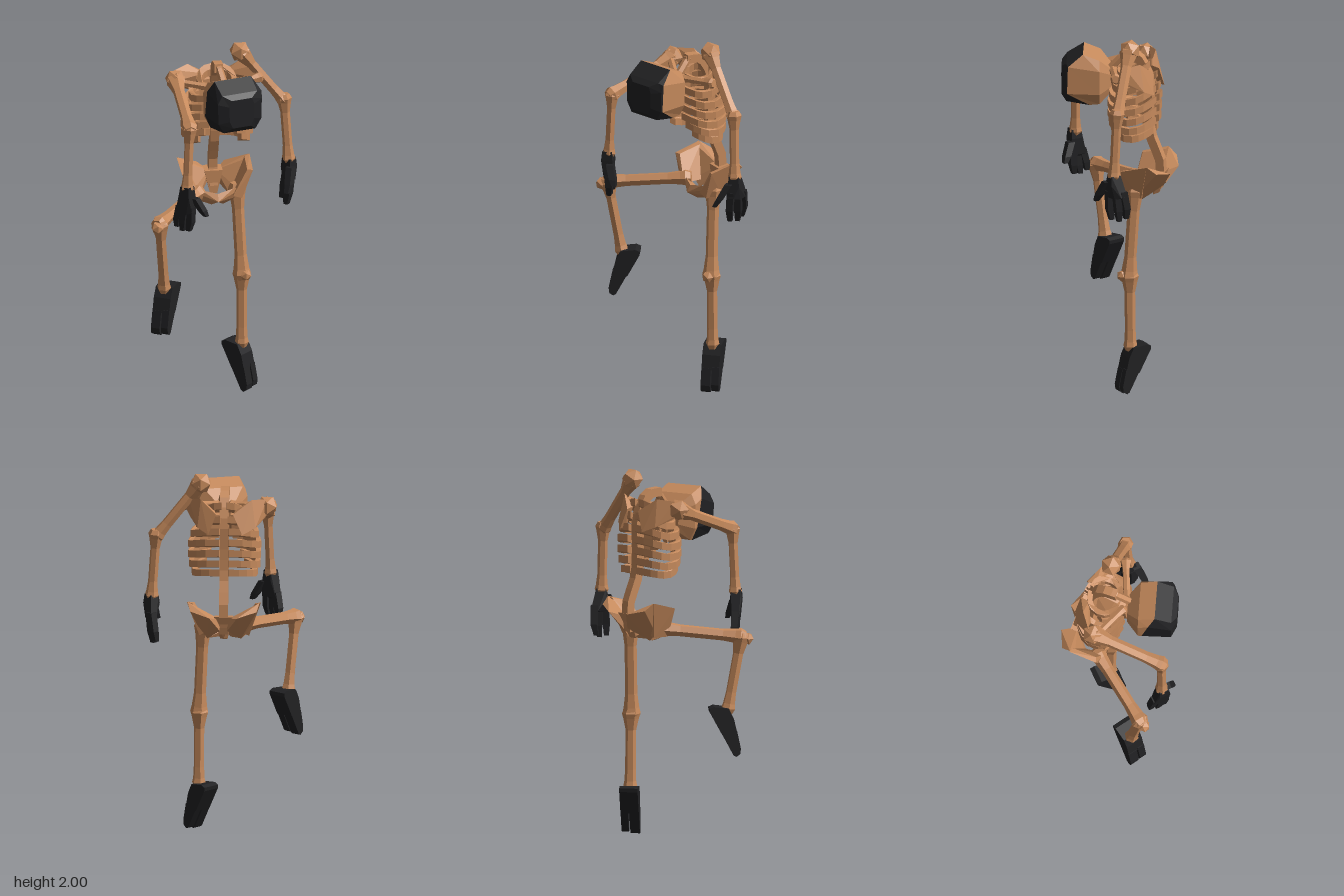
import * as THREE from 'three';
import { ConvexGeometry } from 'three/addons/geometries/ConvexGeometry.js';

const boneMat = new THREE.MeshStandardMaterial({ color: 0xc68a5c, flatShading: true });
boneMat.name = 'tan bone';
const darkMat = new THREE.MeshStandardMaterial({ color: 0x212123, flatShading: true });
darkMat.name = 'charcoal';

const V = (p) => new THREE.Vector3(...p);

export function createModel() {
  const model = new THREE.Group();
  model.name = 'skeleton';

  const add = (name, geo, mat = boneMat, parent = model) => {
    const m = new THREE.Mesh(geo, mat);
    m.name = name;
    parent.add(m);
    return m;
  };
  const hull = (name, pts, mat, parent) => add(name, new ConvexGeometry(pts.map(V)), mat, parent);

  // Six-sided tapered limb bone with flared ends
  const bone = (name, a, b, r0, rs, r1) => {
    const d = V(b).sub(V(a)), len = d.length();
    const profile = [[0, 0], [r0 * 0.7, 0], [r0, 0.06], [r0 * 0.85, 0.12], [rs, 0.26], [rs, 0.74],
      [r1 * 0.85, 0.88], [r1, 0.94], [r1 * 0.7, 1], [0, 1]];
    const m = add(name, new THREE.LatheGeometry(profile.map(([r, t]) => new THREE.Vector2(r, t * len)), 6));
    m.position.set(...a);
    m.quaternion.setFromUnitVectors(new THREE.Vector3(0, 1, 0), d.normalize());
  };
  const knob = (name, p, r) => add(name, new THREE.IcosahedronGeometry(r, 0)).position.set(...p);

  // Head: eight-cornered rings along its facing direction; the colour border is a slanted ring
  const head = new THREE.Group();
  head.name = 'head';
  head.rotation.y = 0.285;
  model.add(head);
  const ring = (z, w, b, t) => [[0.97, 0.25], [1, 0.78], [0.8, 1], [-0.8, 1], [-1, 0.78], [-0.97, 0.25], [-0.72, 0], [0.72, 0]]
    .map(([x, y], i) => [x * w - 0.005, b + (t - b) * y, Array.isArray(z) ? z[i] : z]);
  const loft = (rings, capStart) => {
    const v = [];
    for (let i = 0; i + 1 < rings.length; i++) {
      for (let j = 0; j < 8; j++) {
        const k = (j + 1) % 8, [p, q] = [rings[i], rings[i + 1]];
        v.push(...p[j], ...p[k], ...q[k], ...p[j], ...q[k], ...q[j]);
      }
    }
    const cap = capStart ? rings[0].slice().reverse() : rings[rings.length - 1];
    for (let j = 1; j < 7; j++) v.push(...cap[0], ...cap[j], ...cap[j + 1]);
    const g = new THREE.BufferGeometry();
    g.setAttribute('position', new THREE.Float32BufferAttribute(v, 3));
    g.computeVertexNormals();
    return g;
  };
  const border = ring([0.25, 0.245, 0.165, 0.165, 0.13, 0.095, 0.09, 0.13], 0.136, 1.61, 1.9);
  const front = ring([0.258, 0.258, 0.255, 0.255, 0.255, 0.255, 0.255, 0.255], 0.131, 1.63, 1.845);
  add('skull', loft([ring(0.012, 0.065, 1.67, 1.8), ring(0.075, 0.134, 1.615, 1.865), border], true), boneMat, head);
  add('facePlate', loft([border, front, ring(0.283, 0.075, 1.66, 1.82)], false), darkMat, head);

  // Spine: curved side profile extruded across x
  const spineCurve = new THREE.SplineCurve([[-0.25, 1.14], [-0.27, 1.28], [-0.21, 1.44], [-0.2, 1.6],
    [-0.2, 1.75], [-0.14, 1.87], [-0.05, 1.885]].map((p) => new THREE.Vector2(...p)));
  const near = [], far = [];
  for (let i = 0; i <= 16; i++) {
    const p = spineCurve.getPoint(i / 16), t = spineCurve.getTangent(i / 16);
    const n = new THREE.Vector2(-t.y, t.x).multiplyScalar(0.024);
    near.push(p.clone().add(n));
    far.unshift(p.clone().sub(n));
  }
  const spine = new THREE.ExtrudeGeometry(new THREE.Shape([...near, ...far]), { depth: 0.048, bevelEnabled: false });
  spine.rotateY(-Math.PI / 2).translate(0.024, 0, 0);
  add('spine', spine);
  bone('neck', [0, 1.89, -0.07], [0.03, 1.77, 0.04], 0.025, 0.022, 0.025);

  // Ribs: squarish bands that sag at the sides; the lower ones rise in front [y, rx, rz, half sweep, rise]
  const ribs = [[1.86, 0.11, 0.09, 3.0, -0.05], [1.79, 0.155, 0.115, 3.0, -0.04], [1.725, 0.185, 0.127, 3.0, -0.02],
    [1.665, 0.198, 0.133, 3.0, -0.01], [1.605, 0.198, 0.133, 2.9, 0], [1.545, 0.195, 0.128, 2.75, 0.02],
    [1.49, 0.18, 0.115, 2.5, 0.04]];
  const bulge = (c) => Math.sign(c) * Math.abs(c) ** 0.8;
  for (const [y, rx, rz, sweep, rise] of ribs) {
    for (const side of [-1, 1]) {
      const outer = [], inner = [];
      for (let i = 0; i <= 8; i++) {
        const a = 0.08 + (sweep - 0.08) * (i / 8);
        const x = side * bulge(Math.sin(a)), z = -bulge(Math.cos(a));
        outer.push(new THREE.Vector2(x * rx, z * rz));
        inner.unshift(new THREE.Vector2(x * (rx - 0.028), z * (rz - 0.028)));
      }
      const g = new THREE.ExtrudeGeometry(new THREE.Shape([...outer, ...inner]), { depth: 0.038, bevelEnabled: false });
      g.rotateX(Math.PI / 2).translate(0, y, -0.12);
      const p = g.attributes.position;
      for (let i = 0; i < p.count; i++) {
        const t = (p.getZ(i) + 0.12 + rz) / (2 * rz);
        p.setY(i, p.getY(i) - 0.035 * Math.sin(t * Math.PI) + rise * t);
      }
      g.computeVertexNormals();
      add('rib', g);
    }
  }
  hull('sternum', [[-0.03, 1.8, -0.03], [0.03, 1.8, -0.03], [-0.03, 1.78, 0], [0.03, 1.78, 0],
    [-0.015, 1.6, -0.01], [0.015, 1.6, -0.01], [-0.015, 1.61, 0.012], [0.015, 1.61, 0.012]]);

  // Mirrored shoulder girdle and pelvis
  for (const s of [-1, 1]) {
    const mir = (pts) => pts.map(([x, y, z]) => [s * x, y, z]);
    const k = s < 0 ? 1 : 0.85;
    hull('scapula', mir([[0.23, 1.86, -0.13], [0.15, 1.87, -0.19], [0.05, 1.8, -0.24], [0.06, 1.81, -0.19],
      [0.1, 1.69, -0.255], [0.09, 1.7, -0.22], [0.17, 1.72, -0.22], [0.22, 1.76, -0.14], [0.25, 1.8, -0.1]]
      .map(([x, y, z]) => [x * k, y, z])));
    bone('clavicle', [s * 0.02, 1.79, 0], [s * 0.24, 1.81, -0.09], 0.028, 0.02, 0.032);
    hull('hipWing', mir([[0.02, 1.16, -0.29], [0.02, 1.22, -0.27], [0.075, 1.245, -0.345], [0.18, 1.27, -0.3],
      [0.195, 1.31, -0.25], [0.165, 1.285, -0.23], [0.13, 1.13, -0.18], [0.09, 1.09, -0.19], [0.06, 1.14, -0.23]]));
    hull('hipBlade', mir([[0.2, 1.31, -0.25], [0.195, 1.27, -0.1], [0.135, 1.11, -0.1], [0.135, 1.11, -0.2],
      [0.17, 1.3, -0.24], [0.165, 1.27, -0.11], [0.085, 1.13, -0.09], [0.09, 1.13, -0.2]]));
    hull('pubicBone', mir([[0.14, 1.16, -0.12], [0.13, 1.11, -0.14], [0.09, 1.17, -0.1], [0.09, 1.09, -0.18],
      [0, 1.15, -0.08], [0, 1.11, -0.06], [0, 1.12, -0.11], [0.03, 1.08, -0.11]]));
  }
  hull('sacrum', [[-0.05, 1.24, -0.3], [0.05, 1.24, -0.3], [-0.05, 1.23, -0.23], [0.05, 1.23, -0.23],
    [-0.02, 1.1, -0.23], [0.02, 1.1, -0.23], [0, 1.11, -0.26]]);

  // Arms
  knob('leftShoulder', [0.128, 1.947, -0.133], 0.06);
  bone('leftUpperArm', [0.125, 1.955, -0.13], [0.378, 1.635, -0.14], 0.052, 0.03, 0.04);
  bone('leftForearm', [0.37, 1.685, -0.14], [0.397, 1.29, -0.13], 0.043, 0.026, 0.038);
  knob('rightShoulder', [-0.23, 1.815, -0.105], 0.06);
  bone('rightUpperArm', [-0.23, 1.82, -0.12], [-0.213, 1.665, 0.31], 0.054, 0.032, 0.045);
  bone('rightForearm', [-0.213, 1.695, 0.285], [-0.23, 1.31, 0.295], 0.043, 0.026, 0.038);

  // Hands: palm wedge with three fingers and a thumb fanning to the given tips
  const hand = (name, wrist, roots, tips) => {
    const around = (p, r, h) => [[1, 0], [0, 1], [-1, 0], [0, -1]].map(([a, b]) => [p[0] + a * r, p[1] + h, p[2] + b * r]);
    hull(name + 'Palm', [...around(wrist, 0.038, 0.02), ...around(wrist, 0.045, -0.03),
      ...roots.slice(0, 3).flatMap((p) => around(p, 0.028, 0))], darkMat);
    roots.forEach((p, i) => {
      const t = tips[i];
      const mid = [0, 1, 2].map((k) => p[k] * 0.45 + t[k] * 0.55 + (k === 1 ? 0 : (p[k] - wrist[k]) * 0.2));
      hull(name + (i < 3 ? 'Finger' : 'Thumb'), [...around(p, 0.028, 0.03), ...around(mid, 0.026, 0)], darkMat);
      hull(name + (i < 3 ? 'Fingertip' : 'Thumbtip'), [...around(mid, 0.026, 0), ...around(t, 0.017, 0)], darkMat);
    });
  };
  hand('leftHand', [0.397, 1.3, -0.13],
    [[0.395, 1.2, -0.18], [0.402, 1.19, -0.145], [0.4, 1.2, -0.105], [0.4, 1.25, -0.09]],
    [[0.37, 1.07, -0.19], [0.385, 1.055, -0.155], [0.38, 1.06, -0.11], [0.37, 1.155, -0.02]]);
  hand('rightHand', [-0.23, 1.325, 0.3],
    [[-0.26, 1.2, 0.27], [-0.24, 1.19, 0.295], [-0.21, 1.2, 0.305], [-0.19, 1.25, 0.31]],
    [[-0.275, 1.1, 0.245], [-0.25, 1.085, 0.275], [-0.22, 1.09, 0.3], [-0.13, 1.175, 0.32]]);

  // Legs
  bone('leftThigh', [0.115, 1.18, -0.16], [0.14, 0.63, -0.13], 0.05, 0.033, 0.05);
  bone('leftShin', [0.138, 0.69, -0.135], [0.14, 0.24, -0.14], 0.05, 0.029, 0.038);
  knob('leftKneecap', [0.155, 0.665, -0.1], 0.033);
  bone('rightThigh', [-0.09, 1.155, -0.14], [-0.385, 1.105, 0.24], 0.047, 0.033, 0.047);
  bone('rightShin', [-0.37, 1.13, 0.225], [-0.33, 0.69, 0.155], 0.05, 0.029, 0.04);
  knob('rightKneecap', [-0.385, 1.095, 0.25], 0.036);

  // Feet: thin hanging wedges whose lower half splits into two toes
  const foot = (name, ankle, yaw) => {
    const g = new THREE.Group();
    g.name = name;
    g.position.set(...ankle);
    g.rotation.y = yaw;
    model.add(g);
    const slab = (part, pts, x0, x1) => hull(part, pts.flatMap(([z, y]) => [[x0, y, z], [x1, y, z]]), darkMat, g);
    slab('footBody', [[-0.075, 0.015], [-0.1, 0.005], [-0.098, -0.015], [0.005, 0.005], [0.032, -0.05], [0.05, -0.13], [-0.03, -0.14]], -0.05, 0.05);
    const toe = [[0.05, -0.12], [-0.037, -0.125], [0.07, -0.215], [0.066, -0.245], [0.045, -0.259], [0.03, -0.25]];
    slab('bigToe', toe, -0.05, 0.002);
    slab('outerToe', toe.map(([z, y]) => [z, y + 0.008]), 0.01, 0.05);
  };
  foot('leftFoot', [0.14, 0.26, -0.14], Math.PI / 4);
  foot('rightFoot', [-0.33, 0.715, 0.155], -0.6);

  return model;
}
